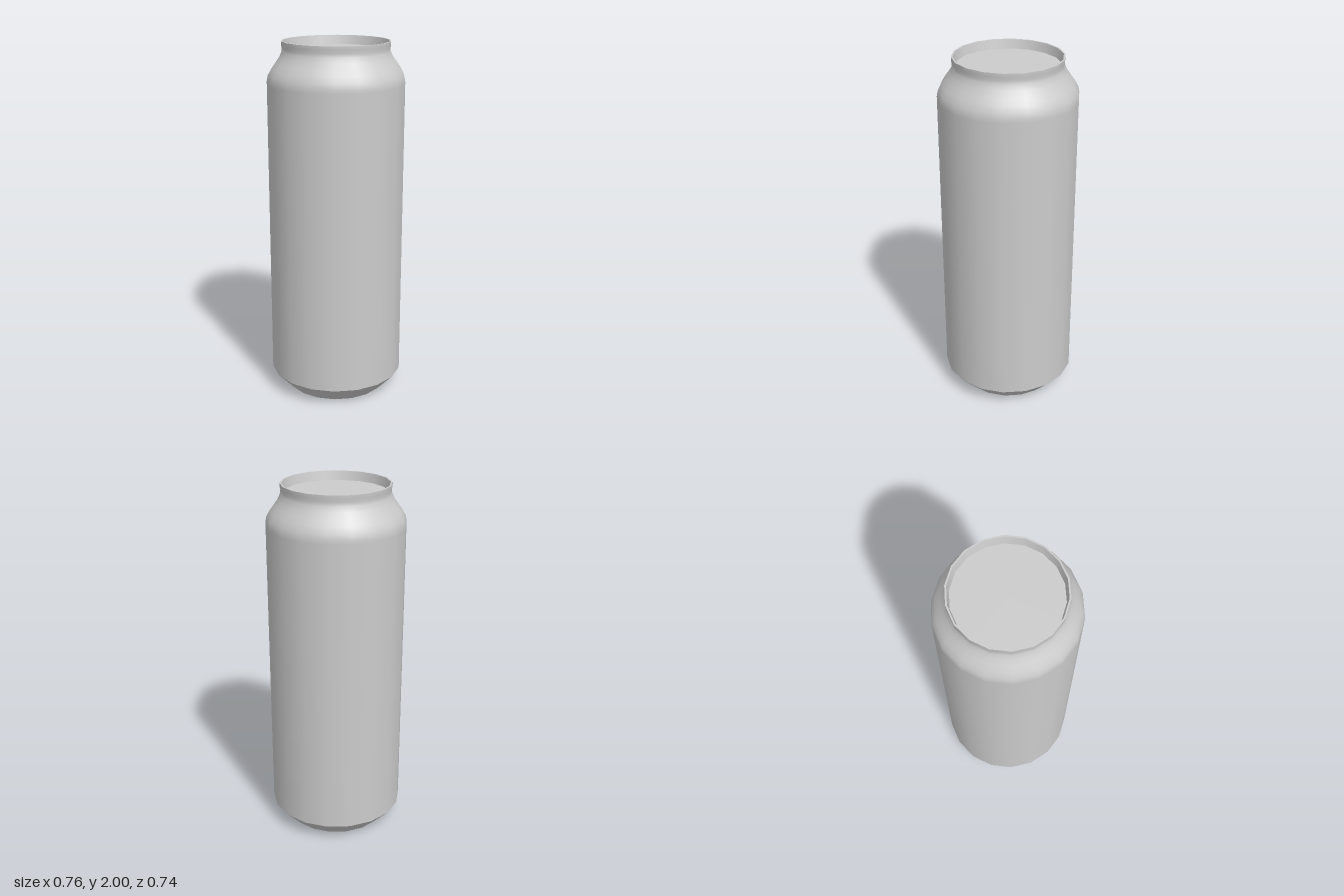
import * as THREE from 'three';

const SIDES = 18;

export function createModel() {
  const group = new THREE.Group();
  group.name = 'drinkCan';
  const material = new THREE.MeshStandardMaterial({ color: 0xcccccc });

  // Each part is a turned [radius, height] profile; separate parts keep sharp edges between them
  const turn = (name, profile) => {
    const points = profile.map(([r, y]) => new THREE.Vector2(r, y));
    const mesh = new THREE.Mesh(new THREE.LatheGeometry(points, SIDES, Math.PI / 2), material);
    mesh.name = name;
    group.add(mesh);
  };

  // Hollow dome under the can and the narrow ring it stands on
  turn('bottomDome', [[0, 0.12], [0.09, 0.105], [0.18, 0.07], [0.245, 0.025], [0.27, 0]]);
  turn('standRing', [[0.27, 0], [0.283, 0]]);

  // Bevelled foot
  turn('footBevel', [[0.283, 0], [0.378, 0.1]]);

  // Straight wall, rounded shoulder, neck and flared lip
  turn('body', [
    [0.378, 0.1], [0.378, 1.77], [0.378, 1.79], [0.372, 1.82], [0.354, 1.853],
    [0.331, 1.885], [0.31, 1.915], [0.297, 1.943], [0.294, 1.962], [0.298, 1.98], [0.298, 2],
  ]);

  // Flat rim, inner wall and recessed lid
  turn('rim', [[0.298, 2], [0.289, 2]]);
  turn('innerWall', [[0.289, 2], [0.279, 1.95]]);
  turn('lid', [[0.279, 1.95], [0, 1.95]]);

  return group;
}
